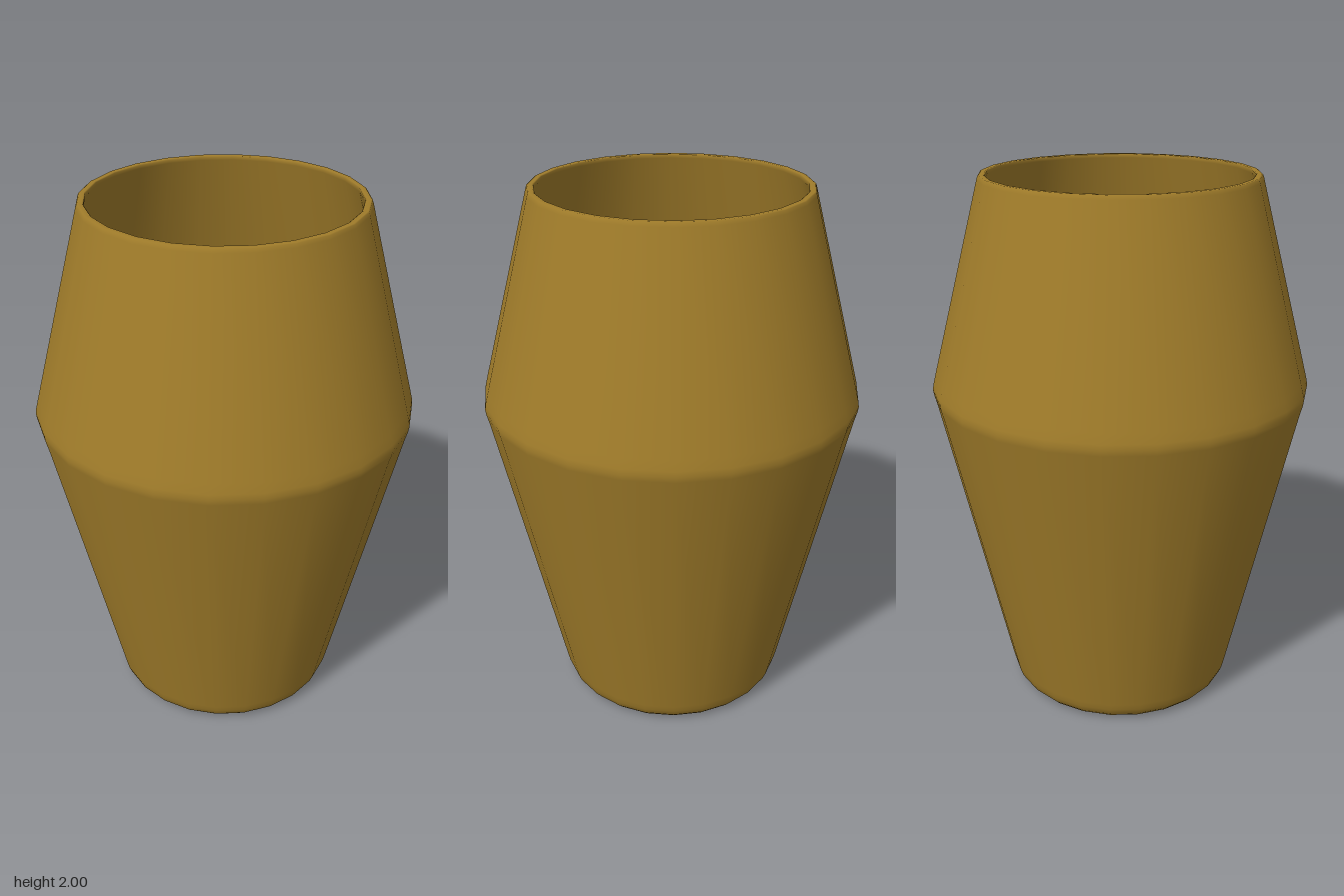
import * as THREE from 'three';

export function createModel() {
  const group = new THREE.Group();
  group.name = 'vase';

  // Closed wall profile [radius, height]: base, outside, rim, inside, floor
  const profile = [
    // underside and rounded foot
    [0, 0], [0.36, 0], [0.385, 0.003], [0.41, 0.012], [0.427, 0.03], [0.437, 0.055], [0.443, 0.08],
    // lower wall, shoulder, upper wall
    [0.683, 1.18], [0.692, 1.215], [0.695, 1.235], [0.692, 1.255], [0.683, 1.29],
    [0.499, 1.985], [0.495, 1.997],
    // rim
    [0.491, 2], [0.475, 2], [0.471, 1.997], [0.472, 1.985],
    // inside wall
    [0.658, 1.28], [0.667, 1.25], [0.669, 1.235], [0.667, 1.215], [0.658, 1.18],
    // inside foot and floor
    [0.42, 0.09], [0.413, 0.065], [0.4, 0.042], [0.38, 0.031], [0.355, 0.027], [0, 0.027],
  ].map(([r, y]) => new THREE.Vector2(r, y));

  const body = new THREE.Mesh(
    new THREE.LatheGeometry(profile, 24),
    new THREE.MeshStandardMaterial({ color: 0xa07c2a })
  );
  body.name = 'vaseBody';
  group.add(body);
  return group;
}
